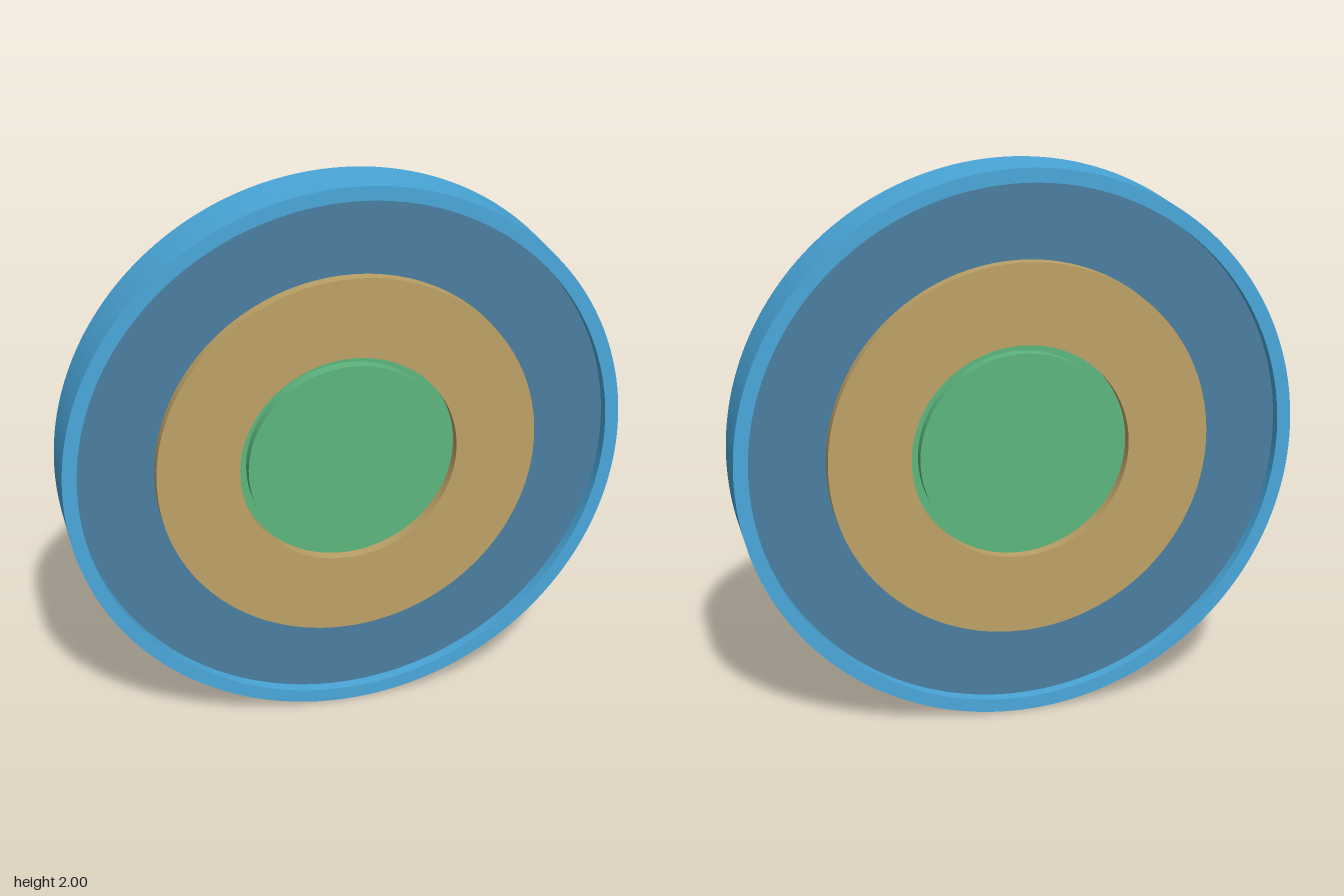
import * as THREE from 'three';

const FACE = 0.1;   // half thickness of the raised parts
const FLOOR = 0.06; // half thickness of the recessed parts
const SEGMENTS = 96;

const material = (name, color) => {
  const m = new THREE.MeshStandardMaterial({ color });
  m.name = name;
  return m;
};

// Flat ring or disc with sharp edges, extruded evenly about z = 0
function ring(name, outer, inner, half, mat) {
  const shape = new THREE.Shape().absarc(0, 0, outer, 0, Math.PI * 2);
  if (inner > 0) shape.holes.push(new THREE.Path().absarc(0, 0, inner, 0, Math.PI * 2, true));
  const geometry = new THREE.ExtrudeGeometry(shape, {
    depth: half * 2, bevelEnabled: false, curveSegments: SEGMENTS,
  });
  geometry.translate(0, 0, -half);
  const mesh = new THREE.Mesh(geometry, mat);
  mesh.name = name;
  mesh.position.y = 1;
  return mesh;
}

export function createModel() {
  const rimBlue = material('bright blue', 0x4aa8db);
  const plateBlue = material('slate blue', 0x4b7fa1);
  const gold = material('sand gold', 0xbda267);
  const green = material('green', 0x5db67f);

  const group = new THREE.Group();
  group.name = 'disc';
  group.add(
    ring('outerRim', 1, 0.95, FACE, rimBlue),
    // Recessed plate between the rim and the raised band
    ring('recessedPlate', 0.95, 0.68, FLOOR, plateBlue),
    ring('raisedBand', 0.68, 0.39, FACE, gold),
    // Hub with a narrow groove around it
    ring('hubGroove', 0.39, 0.36, FLOOR, green),
    ring('hub', 0.36, 0, FACE, green),
  );
  return group;
}
